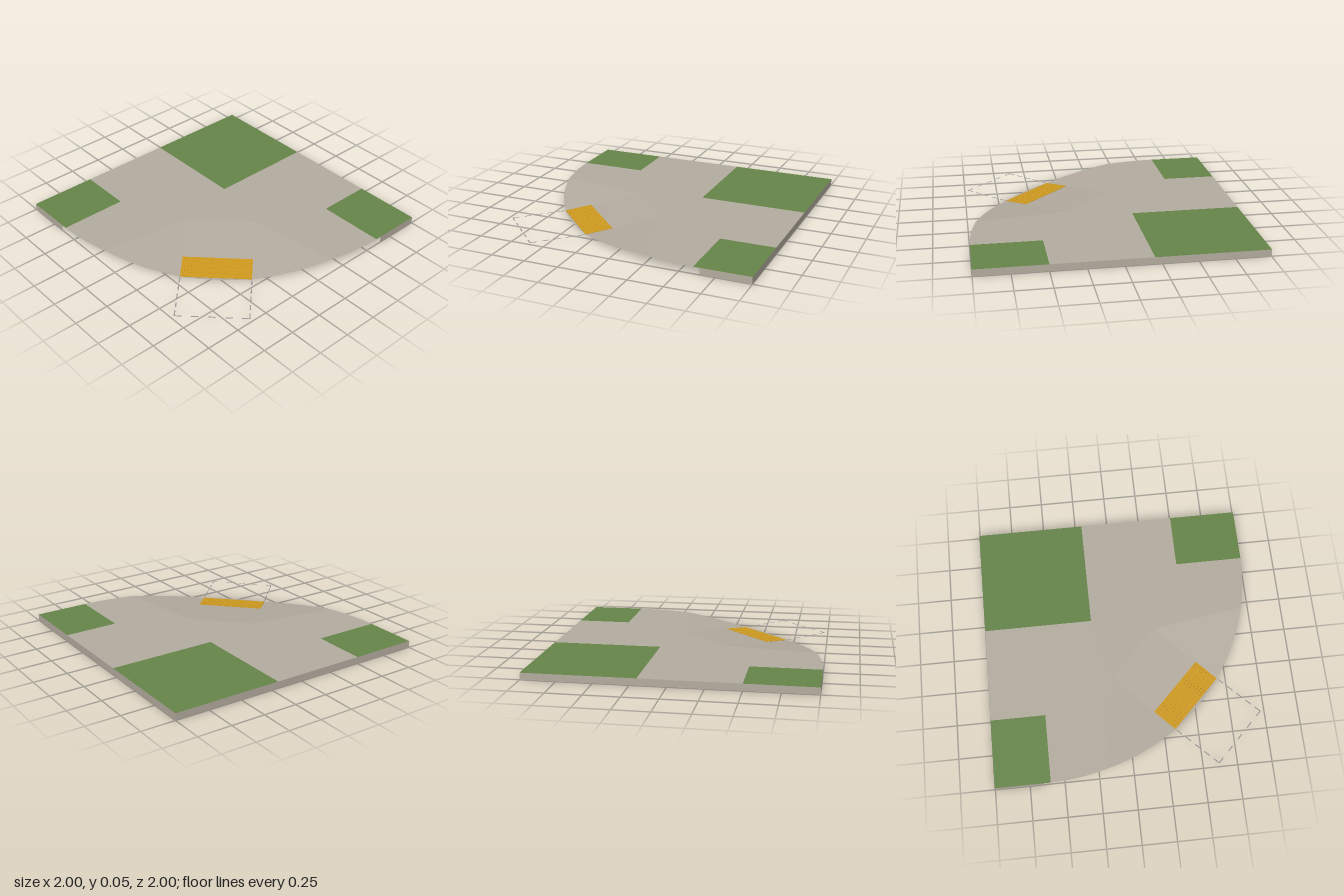
import * as THREE from 'three';
import { mergeGeometries } from 'three/addons/utils/BufferGeometryUtils.js';

const TOP = 0.05, CORNER = -0.62, RADIUS = 1.62;   // slab height, kerb arc centre and radius
const HALF = 0.25, FRONT = 0.725, RUN = 0.6;       // ramp half width, foot on the diagonal, length

const material = (name, color) => {
  const m = new THREE.MeshStandardMaterial({ color, side: THREE.DoubleSide });
  m.name = name;
  return m;
};

export function createModel() {
  const model = new THREE.Group();
  model.name = 'kerbRampCorner';
  const concrete = material('concrete', 0xb5ada0);
  const grass = material('grass', 0x67864a);
  const gold = material('tactileGold', 0xcf9a1c);
  const paint = material('dashGrey', 0x999999);

  const add = (parent, name, geometry, mat) => {
    const mesh = new THREE.Mesh(geometry, mat);
    mesh.name = name;
    parent.add(mesh);
    return mesh;
  };

  // Sheet over an [x, z] outline, raised by a height rule
  const sheet = (name, outline, mat, height = () => TOP) => {
    const shape = new THREE.Shape(outline.map(([x, z]) => new THREE.Vector2(x, -z)));
    const g = new THREE.ShapeGeometry(shape).rotateX(-Math.PI / 2);
    const p = g.attributes.position;
    for (let i = 0; i < p.count; i++) p.setY(i, height(p.getX(i), p.getZ(i)));
    g.computeVertexNormals();
    return add(model, name, g, mat);
  };
  const rect = (x0, z0, x1, z1) => [[x0, z0], [x1, z0], [x1, z1], [x0, z1]];
  const arc = (a, b, n) => Array.from({ length: n + 1 }, (_, i) => {
    const t = a + (b - a) * i / n;
    return [CORNER + RADIUS * Math.cos(t), CORNER + RADIUS * Math.sin(t)];
  });
  const mirror = points => points.map(([x, z]) => [z, x]);
  const diagonal = (u, v) => [(u + v) * Math.SQRT1_2, (u - v) * Math.SQRT1_2];

  // Key angles along the kerb: start, flare top, ramp foot
  const start = Math.asin(0.02 / RADIUS), flare = 0.267;
  const foot = Math.PI / 4 - Math.asin(HALF / RADIUS);
  const back = diagonal(FRONT - RUN, HALF);

  // Flat pavement around the lawns and the ramp
  const kerb = arc(start, flare, 12);
  sheet('pavement', [
    [-0.2, -1], [0.5, -1], [0.5, -0.6], ...kerb, back,
    ...mirror([...kerb, back]).reverse(),
    [-0.6, 0.5], [-1, 0.5], [-1, -0.2], [-0.2, -0.2],
  ], concrete);

  // Lawns
  sheet('largeLawn', rect(-1, -1, -0.2, -0.2), grass);
  sheet('rightBackLawn', rect(0.5, -1, 1, -0.6), grass);
  sheet('frontSideLawn', rect(-1, 0.5, -0.6, 1), grass);

  // Ramp and the level strip at its foot
  const footPoint = diagonal(FRONT, HALF);
  sheet('ramp', [back, footPoint, ...mirror([footPoint, back])], concrete, (x, z) =>
    TOP * Math.max(0, FRONT - (x + z) * Math.SQRT1_2) / RUN);
  sheet('rampFoot', [footPoint, ...arc(foot, Math.PI / 2 - foot, 12).slice(1, -1),
    ...mirror([footPoint])], concrete, () => 0);

  // Flares: planes falling from the crease line to the ramp foot
  const edge = arc(flare, foot, 14);
  edge[edge.length - 1] = footPoint;
  const crease = ([x, z]) =>
    (x - back[0]) * (edge[0][1] - back[1]) - (z - back[1]) * (edge[0][0] - back[0]);
  const fall = (x, z) => TOP * Math.max(0, 1 - crease([x, z]) / crease(footPoint));
  sheet('leftFlare', [back, ...edge], concrete, fall);
  sheet('rightFlare', mirror([back, ...edge]), concrete, (x, z) => fall(z, x));

  // Upright walls on the straight sides
  const wall = (name, length, x, z, turn) => {
    const w = add(model, name, new THREE.PlaneGeometry(length, TOP), concrete);
    w.position.set(x, TOP / 2, z);
    w.rotation.y = turn;
  };
  const short = 0.355;
  wall('backWall', 2, 0, -1, Math.PI);
  wall('rightWall', 2, -1, 0, -Math.PI / 2);
  wall('frontWall', short, -1 + short / 2, 1, 0);
  wall('leftWall', short, 1, -1 + short / 2, Math.PI / 2);

  // Diagonal frame: local z runs down the ramp
  const crossing = new THREE.Group();
  crossing.name = 'crossing';
  crossing.rotation.y = Math.PI / 4;
  model.add(crossing);

  // Tactile panel with rows of studs
  const panel = new THREE.Group();
  panel.name = 'tactilePanel';
  panel.position.set(0, TOP * 0.1 / RUN, FRONT - 0.1);
  panel.rotation.x = Math.atan(TOP / RUN);
  crossing.add(panel);
  add(panel, 'panelPlate', new THREE.BoxGeometry(0.5, 0.002, 0.2).translate(0, 0.001, 0), gold);
  const studs = [];
  for (let i = 0; i < 20; i++) for (let j = 0; j < 8; j++) {
    studs.push(new THREE.CylinderGeometry(0.0045, 0.0062, 0.0025, 12)
      .translate((i - 9.5) * 0.0243, 0.00325, (j - 3.5) * 0.0237));
  }
  add(panel, 'studs', mergeGeometries(studs), gold);

  // Dashed outline on the road
  const END = 1.125, WIDTH = 0.008;
  const dash = (x, z, w, d) => {
    add(crossing, 'roadDash', new THREE.BoxGeometry(w, 0.001, d), paint)
      .position.set(x, 0.0005, z);
  };
  for (let i = 0; i < 5; i++) {
    for (const s of [-1, 1]) dash(s * HALF, END - 0.025 - i * 0.085, WIDTH, 0.05);
    dash((i - 2) * 0.1125, END, 0.05, WIDTH);
  }
  return model;
}
